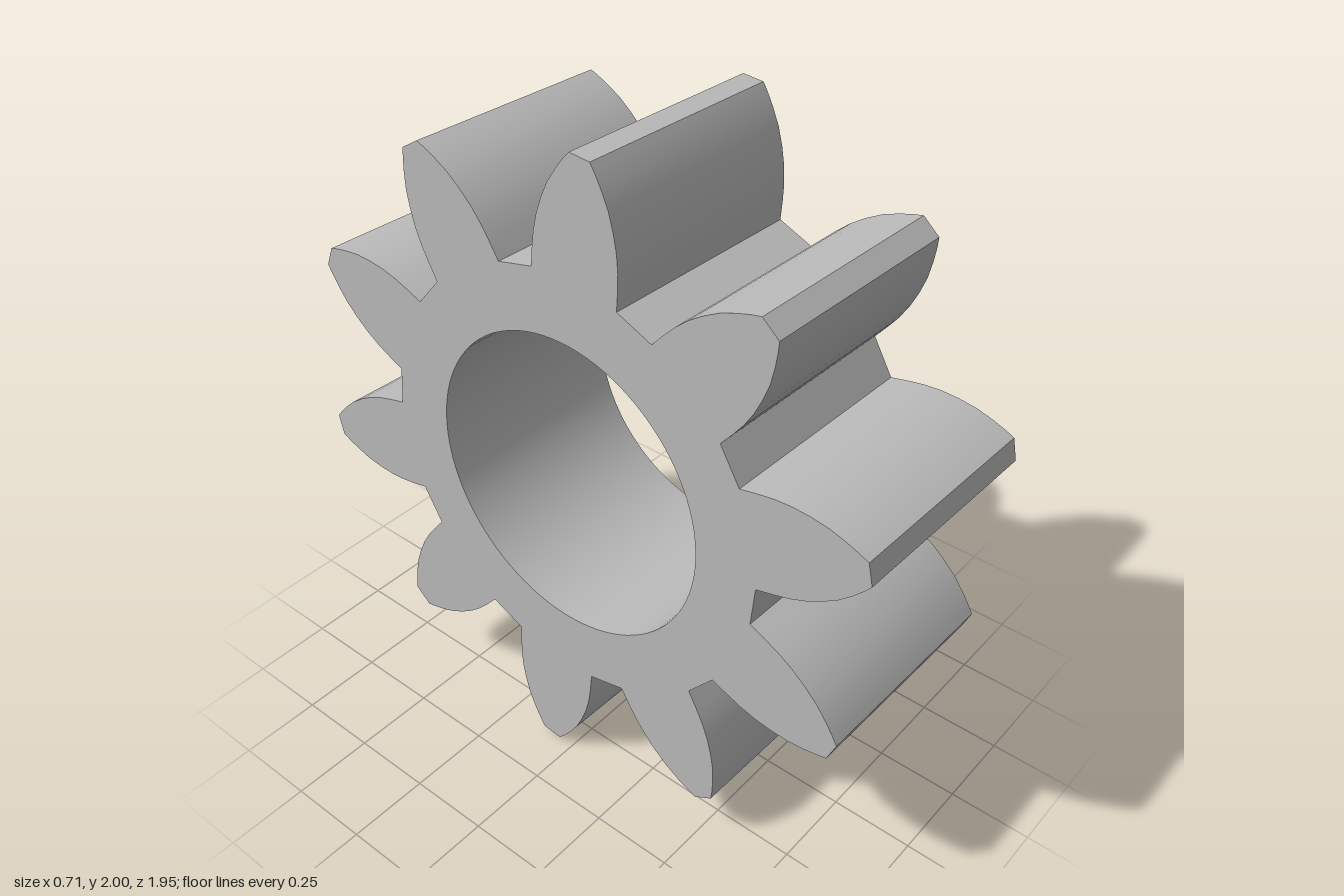
import * as THREE from 'three';
import { toCreasedNormals } from 'three/addons/utils/BufferGeometryUtils.js';

const TEETH = 10;
const PHASE = THREE.MathUtils.degToRad(4.2);
const WIDTH = 0.66;
const BORE = 0.46;

// Half of one tooth: [half width, distance from the axis], root to tip
const FLANK = [
  [0.143, 0.635], [0.142, 0.69], [0.139, 0.74], [0.131, 0.79], [0.117, 0.84],
  [0.098, 0.89], [0.073, 0.935], [0.05, 0.97], [0.033, 0.992],
];

export function createModel() {
  const steel = new THREE.MeshStandardMaterial({ color: 0xbababa });
  steel.name = 'light grey';

  // Outline: up one flank and down the mirrored one, repeated round the axis
  const tooth = [
    ...FLANK.map(([u, v]) => new THREE.Vector2(u, v)),
    ...FLANK.map(([u, v]) => new THREE.Vector2(-u, v)).reverse(),
  ];
  const origin = new THREE.Vector2();
  const outline = [];
  for (let i = 0; i < TEETH; i++) {
    const angle = PHASE + (i * Math.PI * 2) / TEETH;
    for (const p of tooth) outline.push(p.clone().rotateAround(origin, angle));
  }
  const shape = new THREE.Shape(outline);

  // Round bore through the middle
  const bore = new THREE.Path();
  bore.absarc(0, 0, BORE, 0, Math.PI * 2, true);
  shape.holes.push(bore);

  const extruded = new THREE.ExtrudeGeometry(shape, {
    depth: WIDTH, bevelEnabled: false, curveSegments: 48,
  });
  extruded.translate(0, 0, -WIDTH / 2);
  extruded.rotateY(Math.PI / 2); // axis along x

  const gear = new THREE.Mesh(toCreasedNormals(extruded, 0.45), steel);
  gear.name = 'gearWheel';
  gear.position.y = 1;
  gear.rotation.set(0, -0.012, -0.02); // the wheel leans very slightly

  const group = new THREE.Group();
  group.name = 'spurGear';
  group.add(gear);
  return group;
}
